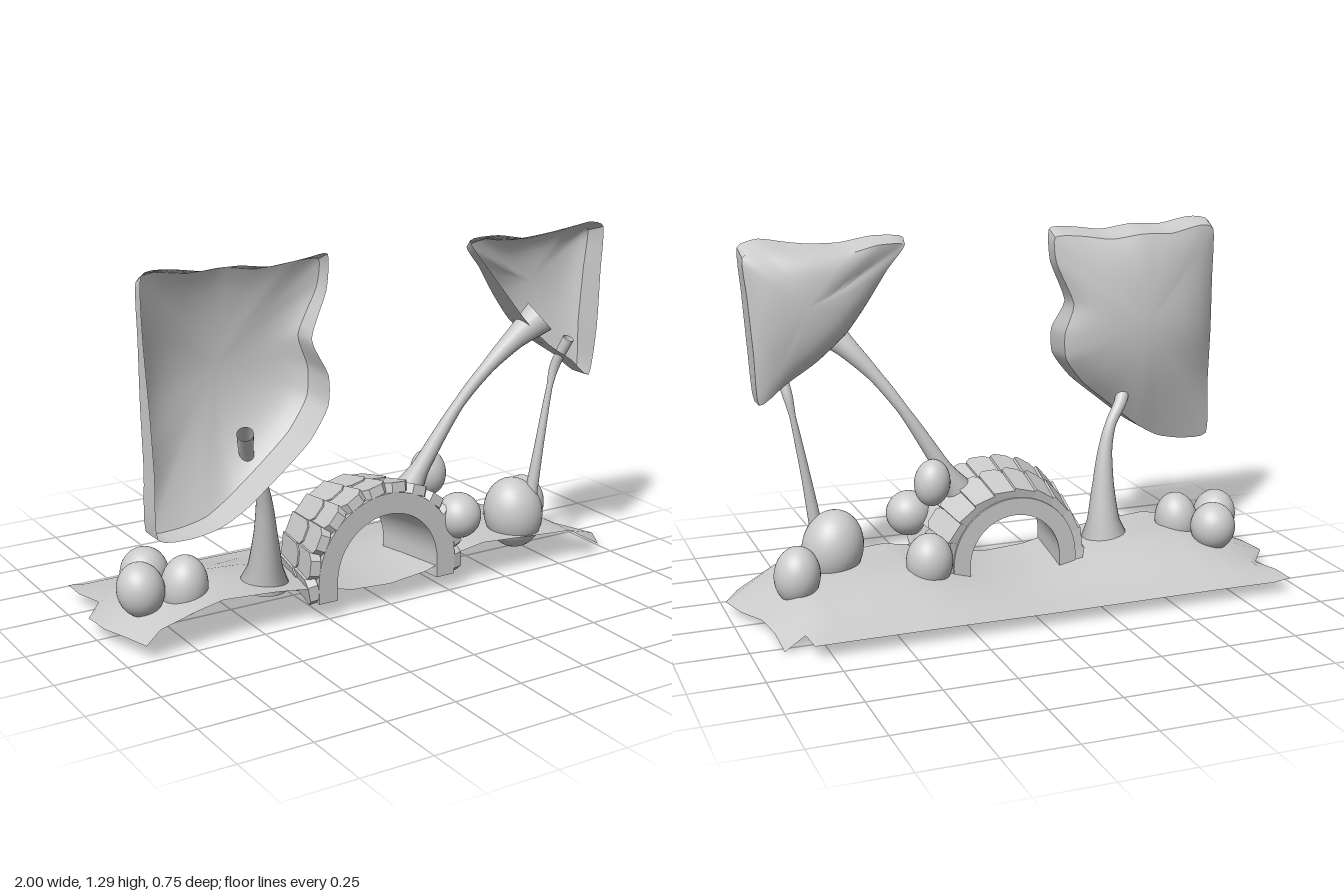
import * as THREE from 'three';
import { toCreasedNormals } from 'three/addons/utils/BufferGeometryUtils.js';

const solid = new THREE.MeshStandardMaterial({ color: 0xcccccc });
const open = new THREE.MeshStandardMaterial({ color: 0xcccccc, side: THREE.DoubleSide });

function add(parent, name, geometry, material = solid) {
  const mesh = new THREE.Mesh(geometry, material);
  mesh.name = name;
  parent.add(mesh);
  return mesh;
}

function indexed(positions, index) {
  const g = new THREE.BufferGeometry();
  g.setAttribute('position', new THREE.Float32BufferAttribute(positions, 3));
  g.setIndex(index);
  return g;
}

// Thin sheet of ground: hilly along the front, low at the back, ends folded down
function groundGeometry() {
  const columns = [
    [-0.88, 0.1], [-0.75, 0.135], [-0.65, 0.155], [-0.45, 0.14], [-0.3, 0.12], [-0.15, 0.085], [0, 0.075],
    [0.15, 0.09], [0.3, 0.135], [0.4, 0.15], [0.6, 0.135], [0.72, 0.125], [0.8, 0.12]];
  // z, left end x, right end x, right end y
  const rows = [
    [-0.38, -0.945, 0.81, 0.045], [-0.285, -0.945, 0.82, 0.05], [-0.28, -0.945, 0.89, 0],
    [-0.18, -0.915, 0.9, 0.03], [-0.065, -1, 0.915, 0.035], [0.05, -0.99, 0.965, 0.03],
    [0.14, -0.96, 1, 0.04], [0.245, -0.93, 0.94, 0.04]];
  const pos = [], idx = [], n = columns.length + 2;
  rows.forEach(([z, xl, xr, yr], i) => {
    const f = THREE.MathUtils.smoothstep(z, -0.42, 0);
    pos.push(xl, 0.055, z);
    columns.forEach(([x, h]) => pos.push(x, 0.045 + (h - 0.045) * f, z));
    pos.push(xr, yr, z);
    if (i) for (let j = 0; j < n - 1; j++) {
      const a = (i - 1) * n + j, b = i * n + j;
      idx.push(a, b, a + 1, b, b + 1, a + 1);
    }
  });
  return toCreasedNormals(indexed(pos, idx), 0.6);
}

// Leaf canopy: a dish bulging backwards with a rim turned to the front.
// Outline points are x, y, front z and back z of the rim; the top rim flares up.
function canopyGeometry(outline, cx, cy, bulge, width) {
  const loop = (k, flare) => new THREE.CatmullRomCurve3(
    outline.map((p) => new THREE.Vector3(p[0], p[1] - (p[1] > 1.24 ? flare : 0), p[k])), true, 'catmullrom', 0.3);
  const front = loop(2, 0), back = loop(3, 0.025), n = outline.length * 4, rings = 12;
  const pos = [], idx = [];
  for (let r = 0; r <= rings; r++) {
    for (let i = 0; i < n; i++) {
      const p = (r ? back : front).getPoint(i / n);
      const s = r ? 1 - (r - 1) / (rings - 1) : 1;
      const dx = (p.x - cx) * s, dy = (p.y - cy) * s, rise = 1 - s * s;
      const k = rise / (rise + (dx * dx + dy * dy) / (width * width));
      pos.push(cx + dx, cy + dy, p.z + (bulge - p.z) * k);
      if (r) {
        const a = (r - 1) * n + i, b = (r - 1) * n + (i + 1) % n;
        idx.push(a, b, a + n);
        if (r < rings) idx.push(b, b + n, a + n);
      }
    }
  }
  return toCreasedNormals(indexed(pos, idx), 0.75);
}

// Tapering limb through points of x, y, z and radius
function limbGeometry(points) {
  const curve = new THREE.CatmullRomCurve3(points.map((p) => new THREE.Vector3(p[0], p[1], p[2])));
  const steps = 28, sides = 20;
  const g = new THREE.TubeGeometry(curve, steps, 1, sides);
  const pos = g.attributes.position, v = new THREE.Vector3();
  for (let i = 0; i <= steps; i++) {
    const c = curve.getPointAt(i / steps);
    const t = curve.getUtoTmapping(i / steps) * (points.length - 1);
    const k = Math.min(Math.floor(t), points.length - 2);
    const radius = THREE.MathUtils.lerp(points[k][3], points[k + 1][3], t - k);
    for (let j = 0; j <= sides; j++) {
      const q = i * (sides + 1) + j;
      v.fromBufferAttribute(pos, q).sub(c).multiplyScalar(radius).add(c);
      pos.setXYZ(q, v.x, v.y, v.z);
    }
  }
  return g;
}

// Vaulted tunnel, narrower at the back, covered with overlapping slates
function buildTunnel() {
  const tunnel = new THREE.Group();
  tunnel.name = 'tunnel';
  tunnel.position.set(-0.01, 0.13, 0);
  const s = new THREE.Shape();
  s.moveTo(0.28, -0.07);
  s.lineTo(0.28, 0);
  s.absarc(0, 0, 0.28, 0, Math.PI, false);
  s.lineTo(-0.28, -0.07);
  s.lineTo(-0.205, -0.07);
  s.lineTo(-0.205, 0);
  s.absarc(0, 0, 0.205, Math.PI, 0, true);
  s.lineTo(0.205, -0.07);
  const vault = new THREE.ExtrudeGeometry(s, { depth: 0.3, bevelEnabled: false, curveSegments: 24 });
  const p = vault.attributes.position;
  for (let i = 0; i < p.count; i++) {
    const k = 0.83 + 0.17 * p.getZ(i) / 0.3, y = p.getY(i);
    p.setXYZ(i, p.getX(i) * k, y > 0 ? y * k : y, p.getZ(i) - 0.05);
  }
  add(tunnel, 'vault', toCreasedNormals(vault, 0.5));

  // Two rows of twelve slates
  for (const [z, radius, length] of [[-0.05, 0.262, 0.175], [0.085, 0.284, 0.16]]) {
    const w = radius * 0.156;
    const outline = [[-w, 0], [w, 0], [w * 1.1, length - 0.025], [w * 0.6, length], [-w * 0.6, length], [-w * 1.1, length - 0.025]];
    const slate = new THREE.ExtrudeGeometry(
      new THREE.Shape(outline.map(([a, b]) => new THREE.Vector2(a, b))), { depth: 0.036, bevelEnabled: false });
    slate.rotateX(Math.PI / 2);
    slate.rotateX(-0.2);
    for (let i = 0; i < 12; i++) {
      const a = THREE.MathUtils.degToRad(-5 + i * 190 / 11);
      const mesh = add(tunnel, 'slate', slate);
      mesh.position.set(Math.cos(a) * radius, Math.sin(a) * radius, z);
      mesh.rotation.z = a - Math.PI / 2 + 0.1;
    }
  }
  return tunnel;
}

export function createModel() {
  const model = new THREE.Group();
  model.name = 'gardenScene';
  add(model, 'ground', groundGeometry(), open);
  model.add(buildTunnel());

  // Round bushes: centre, radii, tilt
  const bushes = [
    [-0.865, 0.175, 0.065, 0.08, 0.095, 0.083, 0.15], [-0.715, 0.165, 0.085, 0.08, 0.105, 0.083, -0.1],
    [-0.79, 0.175, -0.07, 0.083, 0.09, 0.083, 0], [0.25, 0.405, 0.105, 0.065, 0.085, 0.065, 0.1],
    [0.305, 0.265, 0.22, 0.082, 0.082, 0.082, 0], [0.31, 0.165, -0.04, 0.083, 0.1, 0.083, 0],
    [0.612, 0.197, 0.14, 0.11, 0.135, 0.108, 0.2], [0.78, 0.165, -0.02, 0.08, 0.102, 0.085, 0.1]];
  const ball = new THREE.SphereGeometry(1, 32, 20);
  for (const [x, y, z, rx, ry, rz, tilt] of bushes) {
    const bush = add(model, 'bush', ball);
    bush.position.set(x, y, z);
    bush.scale.set(rx, ry, rz);
    bush.rotation.z = tilt;
  }

  // Trunks, open at their upper ends
  add(model, 'rightTrunk', limbGeometry([
    [-0.43, 0.12, 0.115, 0.09], [-0.43, 0.19, 0.125, 0.06], [-0.437, 0.32, 0.145, 0.04],
    [-0.453, 0.45, 0.165, 0.026], [-0.48, 0.54, 0.178, 0.02], [-0.53, 0.62, 0.2, 0.024],
    [-0.57, 0.715, 0.265, 0.028]]), open);
  add(model, 'leaningTrunk', limbGeometry([
    [0.145, 0.36, 0.13, 0.055], [0.195, 0.44, 0.138, 0.032], [0.33, 0.66, 0.172, 0.02],
    [0.425, 0.79, 0.21, 0.024], [0.515, 0.89, 0.245, 0.038], [0.595, 0.97, 0.285, 0.062]]), open);
  add(model, 'slimTrunk', limbGeometry([
    [0.66, 0.26, 0.18, 0.024], [0.69, 0.45, 0.183, 0.017], [0.73, 0.67, 0.183, 0.011],
    [0.745, 0.75, 0.19, 0.018], [0.768, 0.86, 0.235, 0.021]]), open);

  // Canopies; the right one leans back towards the top
  add(model, 'rightCanopy', canopyGeometry([
    [-0.92, 1.265, 0.28, 0.24], [-0.85, 1.285, 0.31, 0.22], [-0.72, 1.265, 0.3, 0.19], [-0.6, 1.27, 0.3, 0.18],
    [-0.48, 1.255, 0.3, 0.19], [-0.36, 1.27, 0.3, 0.21], [-0.262, 1.27, 0.27, 0.21], [-0.265, 1.15, 0.265, 0.2],
    [-0.33, 1.0, 0.28, 0.19], [-0.3, 0.89, 0.335, 0.2], [-0.31, 0.79, 0.35, 0.21], [-0.39, 0.69, 0.37, 0.23],
    [-0.5, 0.6, 0.375, 0.24], [-0.62, 0.505, 0.37, 0.24], [-0.71, 0.455, 0.365, 0.25], [-0.81, 0.435, 0.36, 0.25],
    [-0.92, 0.445, 0.34, 0.25], [-0.92, 0.65, 0.33, 0.25], [-0.92, 0.85, 0.31, 0.24], [-0.92, 1.06, 0.28, 0.24],
  ], -0.6, 0.92, 0.13, 0.4), open);
  add(model, 'leftCanopy', canopyGeometry([
    [0.29, 1.265, 0.28, 0.26], [0.4, 1.275, 0.29, 0.215], [0.52, 1.255, 0.3, 0.18], [0.64, 1.26, 0.275, 0.175],
    [0.72, 1.27, 0.28, 0.185], [0.81, 1.285, 0.275, 0.2], [0.885, 1.26, 0.265, 0.18], [0.875, 1.1, 0.27, 0.175],
    [0.86, 0.9, 0.28, 0.175], [0.845, 0.72, 0.265, 0.19], [0.75, 0.79, 0.28, 0.18], [0.64, 0.86, 0.29, 0.18],
    [0.53, 0.95, 0.31, 0.19], [0.45, 1.05, 0.3, 0.2], [0.365, 1.16, 0.29, 0.23],
  ], 0.68, 1.06, 0.12, 0.3), open);
  return model;
}
